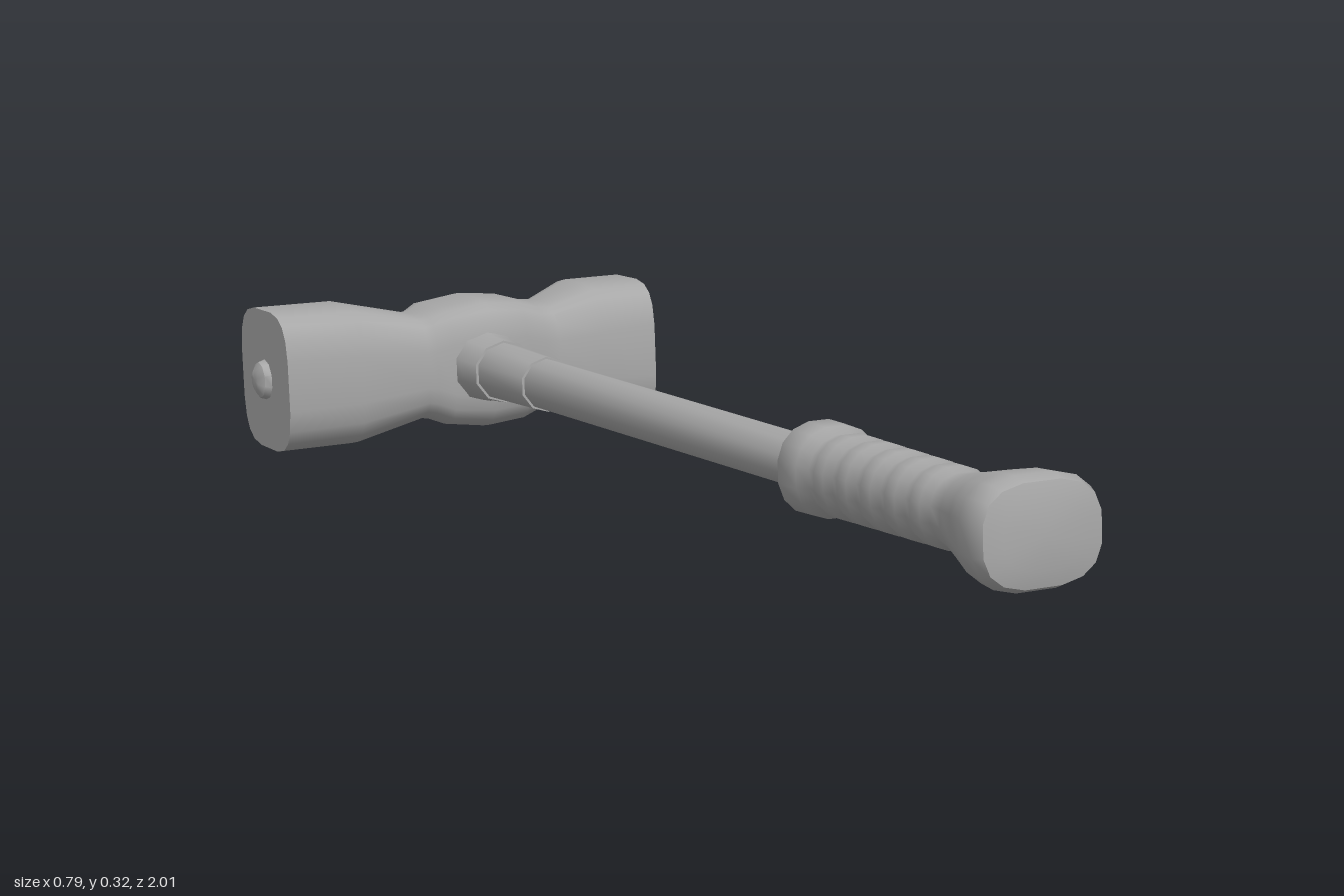
import * as THREE from 'three';
import { toCreasedNormals } from 'three/addons/utils/BufferGeometryUtils.js';

const steel = new THREE.MeshStandardMaterial({ color: 0xa8a8a8 });
steel.name = 'grey steel';

// Closed loft along +z; each section is [z, half width, half height, squareness (2 = ellipse)]
function loft(sections, sides, crease = 0.7) {
  const pos = [], idx = [];
  for (const [z, rx, ry, n = 2] of sections) {
    for (let j = 0; j < sides; j++) {
      const a = ((j + 0.5) / sides) * Math.PI * 2;
      const c = Math.cos(a), s = Math.sin(a);
      pos.push(
        rx * Math.sign(c) * Math.abs(c) ** (2 / n),
        ry * Math.sign(s) * Math.abs(s) ** (2 / n), z);
    }
  }
  const last = sections.length - 1;
  for (let i = 0; i < last; i++) {
    for (let j = 0; j < sides; j++) {
      const k = (j + 1) % sides;
      const a = i * sides + j, b = i * sides + k;
      idx.push(a, b, b + sides, a, b + sides, a + sides);
    }
  }
  // End caps
  const c0 = pos.length / 3;
  pos.push(0, 0, sections[0][0], 0, 0, sections[last][0]);
  for (let j = 0; j < sides; j++) {
    const k = (j + 1) % sides;
    idx.push(c0, k, j, c0 + 1, last * sides + j, last * sides + k);
  }
  const g = new THREE.BufferGeometry();
  g.setAttribute('position', new THREE.Float32BufferAttribute(pos, 3));
  g.setIndex(idx);
  return toCreasedNormals(g, crease);
}

function part(name, geometry, parent) {
  const m = new THREE.Mesh(geometry, steel);
  m.name = name;
  parent.add(m);
  return m;
}

export function createModel() {
  const model = new THREE.Group();
  model.name = 'sledgehammer';

  // Local frame: handle runs along +z, head runs along x
  const hammer = new THREE.Group();
  hammer.name = 'hammer';
  hammer.rotation.set(-0.068, -0.205, 0, 'YXZ');
  hammer.position.set(0.065, 0.127, -0.815);
  model.add(hammer);

  // Head: two flared faces, narrow waists and a raised middle block
  const head = part('head', loft([
    [-0.357, 0.117, 0.117, 3.6],
    [-0.225, 0.111, 0.117, 3.4],
    [-0.1, 0.09, 0.088, 3.4],
    [-0.085, 0.092, 0.09, 3.6],
    [-0.06, 0.107, 0.1, 4.2],
    [0.01, 0.109, 0.11, 4.2],
    [0.075, 0.102, 0.104, 4.2],
    [0.115, 0.088, 0.092, 3.6],
    [0.14, 0.086, 0.09, 3.4],
    [0.21, 0.117, 0.118, 3.4],
    [0.31, 0.108, 0.118, 3.8],
  ], 20), hammer);
  head.rotation.y = Math.PI / 2;

  // Small stud on one striking face
  const stud = part('faceStud', loft([
    [0, 0.034, 0.034], [0.012, 0.03, 0.03], [0.02, 0.016, 0.016],
  ], 10), hammer);
  stud.rotation.y = -Math.PI / 2;
  stud.position.x = -0.356;

  // Handle end showing through the back of the head
  part('handleEnd', loft([
    [-0.126, 0.052, 0.052, 2.4],
    [-0.119, 0.063, 0.061, 2.4],
    [-0.09, 0.063, 0.061, 2.4],
  ], 12), hammer);

  // Socket collar, sleeve and shaft
  part('socketCollar', loft([
    [0.08, 0.066, 0.062, 2.4], [0.12, 0.058, 0.056], [0.175, 0.054, 0.052],
  ], 10), hammer);
  part('sleeve', loft([
    [0.1, 0.051, 0.05], [0.35, 0.046, 0.045],
  ], 10), hammer);
  part('shaft', loft([
    [0.3, 0.042, 0.042], [1.3, 0.038, 0.038],
  ], 10), hammer);

  // Grip: front collar, finger ridges, flared butt
  const grip = [
    [1.262, 0.058, 0.058, 2.3],
    [1.275, 0.066, 0.066, 2.3],
    [1.325, 0.065, 0.064, 2.3],
    [1.345, 0.056, 0.055, 2.2],
  ];
  for (let i = 0; i < 5; i++) {
    const z = 1.365 + i * 0.062;
    const r = 0.059 - i * 0.001;
    grip.push([z, r, r, 2.2], [z + 0.025, r, r, 2.2], [z + 0.042, r - 0.006, r - 0.006, 2.2]);
  }
  grip.push(
    [1.69, 0.056, 0.054, 2.2],
    [1.74, 0.072, 0.064, 2.4],
    [1.79, 0.089, 0.073, 2.6],
    [1.825, 0.092, 0.074, 2.8],
    [1.843, 0.086, 0.067, 2.8],
    [1.849, 0.06, 0.045, 2.6],
  );
  part('grip', loft(grip, 16, 0.8), hammer);

  return model;
}
